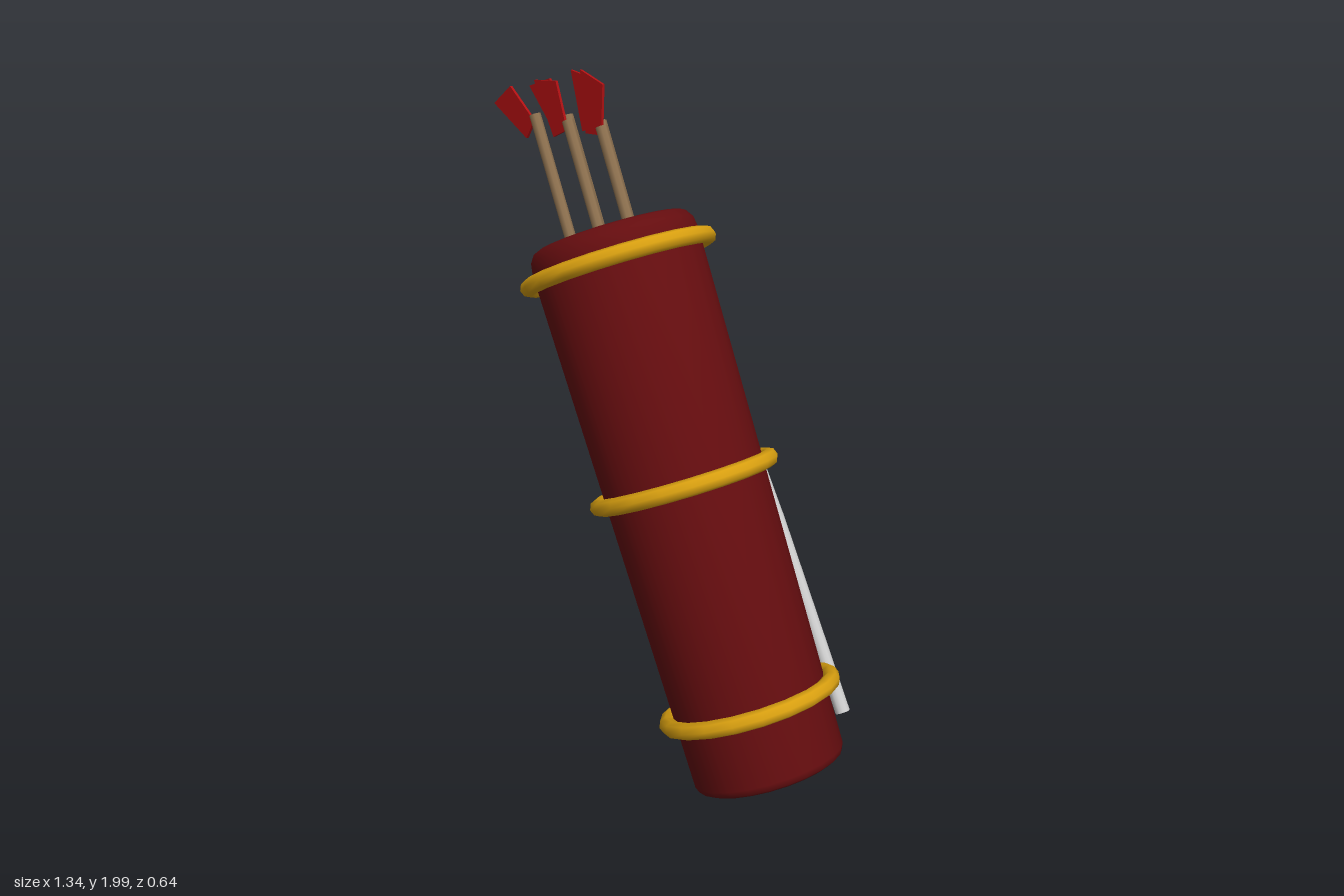
import * as THREE from 'three';
import { toCreasedNormals } from 'three/addons/utils/BufferGeometryUtils.js';

const makeMaterial = (name, color) => {
  const m = new THREE.MeshStandardMaterial({ color });
  m.name = name;
  return m;
};

export function createModel() {
  const leather = makeMaterial('dark red leather', 0x650d0f);
  const gold = makeMaterial('gold', 0xd9a010);
  const wood = makeMaterial('wood', 0x8f7250);
  const red = makeMaterial('red feather', 0xb01012);
  const grey = makeMaterial('pale grey', 0xcccccc);

  const model = new THREE.Group();
  model.name = 'quiver';
  const add = (parent, name, geometry, material) => {
    const mesh = new THREE.Mesh(geometry, material);
    mesh.name = name;
    parent.add(mesh);
    return mesh;
  };

  // Closed round rod between two points
  const rod = (parent, name, a, b, radius, sides, material) => {
    const dir = b.clone().sub(a);
    const mesh = add(parent, name, new THREE.CylinderGeometry(radius, radius, dir.length(), sides), material);
    mesh.position.copy(a).add(b).multiplyScalar(0.5);
    mesh.quaternion.setFromUnitVectors(new THREE.Vector3(0, 1, 0), dir.normalize());
    return mesh;
  };

  // Leaning, slightly tapered case with rounded rims
  const barrel = new THREE.Group();
  barrel.name = 'case';
  barrel.position.set(0.48, 0.095, 0.028);
  barrel.rotation.z = THREE.MathUtils.degToRad(24.8);
  model.add(barrel);
  const profile = [
    [0, 0], [0.2, 0], [0.215, 0.008], [0.222, 0.025],
    [0.245, 1.55], [0.24, 1.582], [0.225, 1.604], [0.21, 1.61], [0, 1.61],
  ].map(([r, y]) => new THREE.Vector2(r, y));
  add(barrel, 'caseBody', toCreasedNormals(new THREE.LatheGeometry(profile, 24), 0.75), leather);

  // Gold bands
  for (const [y, radius] of [[0.214, 0.245], [0.868, 0.255], [1.519, 0.265]]) {
    const band = add(barrel, 'band', new THREE.TorusGeometry(radius, 0.025, 8, 20), gold);
    band.rotation.x = Math.PI / 2;
    band.position.y = y;
  }

  // Feather plate: wider, slanted tip
  const outline = [[-0.033, 0], [0.033, 0], [0.046, 0.138], [-0.046, 0.172]];
  const featherGeometry = new THREE.ExtrudeGeometry(
    new THREE.Shape(outline.map(([x, y]) => new THREE.Vector2(x, y))),
    { depth: 0.008, bevelEnabled: false },
  ).translate(0, 0, -0.004);

  // Arrows in two alternating rows: shaft top x, feather base x, y and angle
  const lean = THREE.MathUtils.degToRad(23.8);
  const arrows = [
    [-0.483, -0.503, 1.81, 56], [-0.408, -0.434, 1.815, 38], [-0.335, -0.366, 1.815, 24],
    [-0.262, -0.306, 1.825, 11], [-0.19, -0.22, 1.83, 2],
  ];
  arrows.forEach(([x, fx, fy, angle], i) => {
    const z = i % 2 ? -0.003 : 0.056;
    const arrow = new THREE.Group();
    arrow.name = 'arrow';
    model.add(arrow);
    const top = new THREE.Vector3(x, 1.855, z);
    const foot = new THREE.Vector3(x + 0.48 * Math.sin(lean), 1.855 - 0.48 * Math.cos(lean), z);
    rod(arrow, 'shaft', foot, top, 0.017, 8, wood);
    const feather = add(arrow, 'feather', featherGeometry, red);
    feather.position.set(fx, fy, z);
    feather.rotation.z = THREE.MathUtils.degToRad(angle);
  });

  // Bowed carrying strap behind the case
  const strap = new THREE.Group();
  strap.name = 'strap';
  model.add(strap);
  const path = [
    [-0.22, 1.36, -0.268], [0.1, 0.84, -0.296], [0.18, 0.7, -0.296], [0.495, 0.17, -0.268],
  ].map((p) => new THREE.Vector3(...p));
  for (let i = 0; i < path.length - 1; i++) {
    rod(strap, 'strapSection', path[i], path[i + 1], 0.022, 12, grey);
  }
  return model;
}
